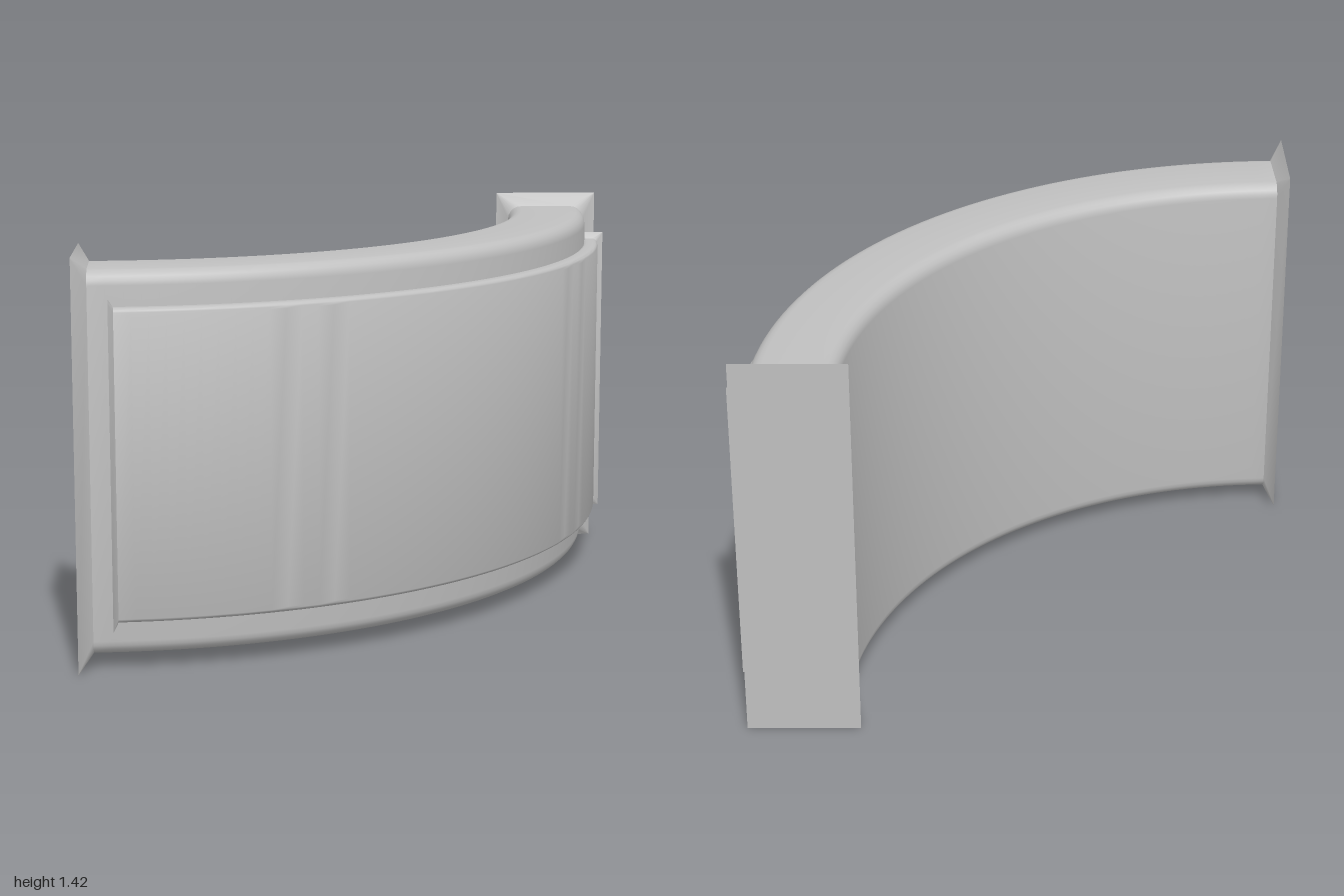
import * as THREE from 'three';
import { toCreasedNormals } from 'three/addons/utils/BufferGeometryUtils.js';

const QUARTER = Math.PI / 2;
const CORNER_STEPS = 5;

// Rounded rectangle in (radius, height), counter-clockwise
function section(r0, r1, y0, y1, round) {
  const corners = [
    [r1 - round, y0 + round, -QUARTER],
    [r1 - round, y1 - round, 0],
    [r0 + round, y1 - round, QUARTER],
    [r0 + round, y0 + round, Math.PI],
  ];
  const points = [];
  for (const [r, y, start] of corners) {
    for (let i = 0; i <= CORNER_STEPS; i++) {
      const t = start + (i / CORNER_STEPS) * QUARTER;
      points.push([r + round * Math.cos(t), y + round * Math.sin(t)]);
    }
  }
  return points;
}

// Skin sections placed at angles around the vertical bend axis at (-1, -1)
function sweep(rings, capStart, capEnd) {
  const pos = [];
  const index = [];
  const n = rings[0].points.length;
  for (const { angle, points } of rings) {
    for (const [r, y] of points) {
      pos.push(-1 + r * Math.sin(angle), y, -1 + r * Math.cos(angle));
    }
  }
  for (let i = 0; i < rings.length - 1; i++) {
    for (let j = 0; j < n; j++) {
      const k = (j + 1) % n;
      const a = i * n + j, b = a + n, c = (i + 1) * n + k, d = i * n + k;
      index.push(a, b, c, a, c, d);
    }
  }
  const last = (rings.length - 1) * n;
  for (let j = 1; j < n - 1; j++) {
    if (capStart) index.push(0, j, j + 1);
    if (capEnd) index.push(last, last + j + 1, last + j);
  }
  const geometry = new THREE.BufferGeometry();
  geometry.setAttribute('position', new THREE.Float32BufferAttribute(pos, 3));
  geometry.setIndex(index);
  return toCreasedNormals(geometry, 0.6);
}

// Evenly spaced copies of one section
function arc(points, from, to, steps) {
  return Array.from({ length: steps + 1 }, (_, i) => (
    { angle: from + ((to - from) * i) / steps, points }
  ));
}

export function createModel() {
  const model = new THREE.Group();
  model.name = 'curvedDuct';
  const metal = new THREE.MeshStandardMaterial({ color: 0xc0c0c0 });
  metal.name = 'grey metal';

  const add = (name, geometry) => {
    const mesh = new THREE.Mesh(geometry, metal);
    mesh.name = name;
    model.add(mesh);
  };

  // Main quarter-circle body
  const bodyEnd = 0.0254;
  const bodySection = section(1.62, 1.92, 0.052, 1.37, 0.05);
  add('body', sweep(arc(bodySection, bodyEnd, QUARTER - bodyEnd, 48), false, false));

  // Flared square flanges with flat closed ends
  const flangeSection = section(1.575, 1.972, 0, 1.42, 0);
  add('leftEndFlange', sweep([
    { angle: 0, points: flangeSection },
    { angle: bodyEnd, points: bodySection },
  ], true, false));
  add('rearEndFlange', sweep([
    { angle: QUARTER - bodyEnd, points: bodySection },
    { angle: QUARTER, points: flangeSection },
  ], false, true));

  // Raised outer panel with a small flared lip at each end
  const panelSection = section(1.91, 1.973, 0.178, 1.25, 0.02);
  const lipSection = section(1.91, 1.996, 0.153, 1.274, 0);
  add('outerPanel', sweep([
    { angle: 0.061, points: lipSection },
    ...arc(panelSection, 0.07, QUARTER - 0.07, 48),
    { angle: QUARTER - 0.061, points: lipSection },
  ], true, true));

  return model;
}
